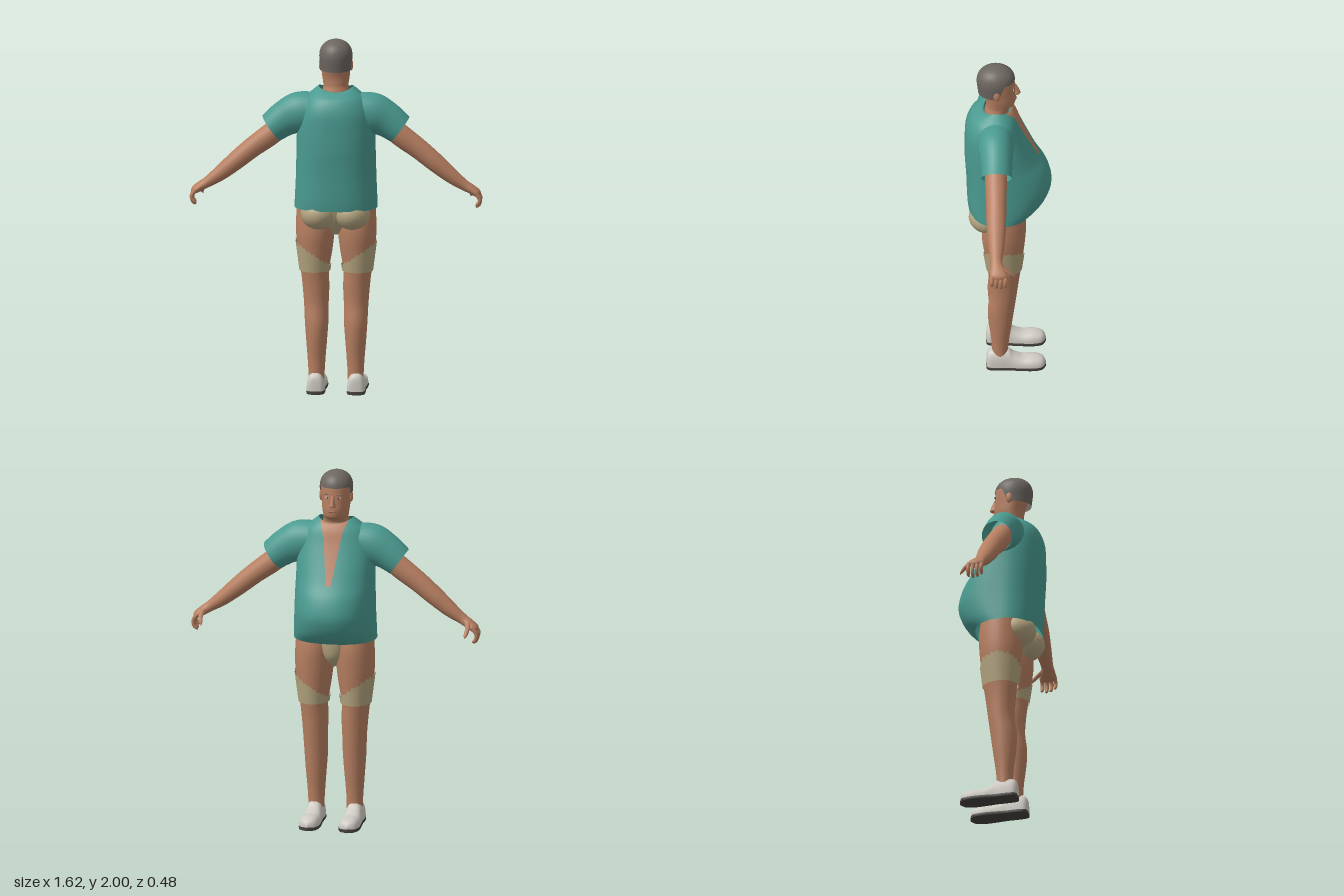
import * as THREE from 'three';

const mat = (name, color, side = THREE.FrontSide) => {
  const m = new THREE.MeshStandardMaterial({ color, side });
  m.name = name;
  return m;
};
const TAU = Math.PI * 2;
const spow = (a, p) => Math.sign(a) * Math.abs(a) ** p;

// Smooth interpolation through rows of numbers, t in 0..1
function sample(rows, t) {
  const f = t * (rows.length - 1), i = Math.min(Math.floor(f), rows.length - 2), k = f - i;
  const r = j => rows[Math.max(0, Math.min(rows.length - 1, j))];
  return rows[0].map((_, c) => {
    const a = r(i - 1)[c], b = r(i)[c], d = r(i + 1)[c], e = r(i + 2)[c];
    return b + 0.5 * k * (d - a + k * (2 * a - 5 * b + 4 * d - e + k * (3 * (b - d) + e - a)));
  });
}

// Grid surface from fn(u, v) -> [x, y, z]; u may close on itself
function surface(fn, nu, nv, wrap = true) {
  const cols = wrap ? nu : nu + 1, pos = [], idx = [];
  for (let j = 0; j <= nv; j++) for (let i = 0; i < cols; i++) pos.push(...fn(i / nu, j / nv));
  for (let j = 0; j < nv; j++) for (let i = 0; i < nu; i++) {
    const a = j * cols + i, b = j * cols + (i + 1) % cols, c = a + cols, d = b + cols;
    idx.push(a, c, b, b, c, d);
  }
  const g = new THREE.BufferGeometry();
  g.setAttribute('position', new THREE.Float32BufferAttribute(pos, 3));
  g.setIndex(idx);
  g.computeVertexNormals();
  return g;
}

// Horizontal ring; row = [y, cx, rx, cz, zFront, zBack]
const ring = ([y, cx, rx, cz, zf, zb], c, s, p = 1) =>
  [cx + rx * spow(c, p), y, cz + (s < 0 ? cz - zf : zb - cz) * spow(s, p)];
const loft = (rows, nu = 32, nv = 40, p = 1) =>
  surface((u, v) => ring(sample(rows, v), Math.cos(u * TAU), Math.sin(u * TAU), p), nu, nv);

// Limb along a path in x and y; row = [x, y, z, radius, radiusZ]
function limb(rows, nu = 20, nv = 30) {
  return surface((u, v) => {
    const a = sample(rows, Math.max(0, v - 0.01)), b = sample(rows, Math.min(1, v + 0.01));
    const [x, y, z, r, rz] = sample(rows, v);
    const tx = b[0] - a[0], ty = b[1] - a[1], l = Math.hypot(tx, ty) || 1, c = Math.cos(u * TAU);
    return [x + ty / l * r * c, y - tx / l * r * c, z + rz * Math.sin(u * TAU)];
  }, nu, nv);
}

function mirrored(geo) {
  const g = geo.clone().scale(-1, 1, 1), ix = g.index.array;
  for (let i = 0; i < ix.length; i += 3) [ix[i + 1], ix[i + 2]] = [ix[i + 2], ix[i + 1]];
  g.computeVertexNormals();
  return g;
}

const ball = (x, y, z, rx, ry, rz) =>
  new THREE.SphereGeometry(1, 20, 14).scale(rx, ry, rz).translate(x, y, z);

export function createModel() {
  const model = new THREE.Group();
  const skin = mat('skin', 0xb77f61, THREE.DoubleSide);
  const teal = mat('teal cloth', 0x4a9a90, THREE.DoubleSide);
  const beige = mat('beige cloth', 0xb5a580, THREE.DoubleSide);
  const hair = mat('grey hair', 0x6c6660, THREE.DoubleSide);
  const white = mat('off white', 0xcfcbc4);
  const dark = mat('dark sole', 0x45413e);
  const lip = mat('lip', 0x95604c);

  const add = (name, geo, m) => {
    const mesh = new THREE.Mesh(geo, m);
    mesh.name = name;
    model.add(mesh);
  };
  const pair = (name, geo, m) => {
    add(name + 'Left', geo, m);
    add(name + 'Right', mirrored(geo), m);
  };

  // Shirt body with a heavy belly towards -z
  const torso = [
    [1.055, 0, .23, .05, -.14, .22], [1.1, 0, .228, .05, -.19, .225], [1.16, 0, .225, .05, -.225, .228],
    [1.23, 0, .222, .05, -.24, .23], [1.32, 0, .22, .05, -.215, .235], [1.4, 0, .218, .05, -.165, .24],
    [1.5, 0, .215, .055, -.115, .24], [1.6, 0, .2, .06, -.07, .235], [1.67, 0, .17, .06, -.045, .21],
    [1.71, 0, .13, .06, -.025, .17], [1.738, 0, .095, .06, -.008, .135],
  ];
  const torsoPoint = (v, c, s) => {
    const p = ring(sample(torso, v), c, s, .88);
    p[1] -= .025 * v ** 12 * s * s;
    return p;
  };
  add('shirt', surface((u, v) => torsoPoint(v, Math.cos(u * TAU), Math.sin(u * TAU)), 48, 50), teal);

  // Bare chest in the open collar
  add('openCollar', surface((u, v) => {
    const t = .49 + .51 * v, row = sample(torso, t);
    const w = Math.min(.012 + .07 * v ** .9, row[2] * .8) * (u * 2 - 1);
    const c = spow(w / row[2], 1 / .88), p = torsoPoint(t, c, -Math.sqrt(1 - c * c));
    return [p[0], p[1], p[2] - .004];
  }, 12, 24, false), skin);

  pair('sleeve', limb([[.1, 1.6, .07, .1, .1], [.2, 1.585, .07, .115, .1],
    [.28, 1.55, .066, .1, .09], [.355, 1.495, .065, .086, .085]], 28, 20), teal);

  // Arms and hands
  pair('arm', limb([
    [.25, 1.55, .07, .06, .06], [.36, 1.46, .068, .062, .06], [.46, 1.385, .067, .057, .056],
    [.55, 1.31, .067, .052, .054], [.64, 1.235, .067, .042, .044], [.71, 1.185, .067, .03, .034],
    [.75, 1.16, .06, .026, .042], [.785, 1.135, .055, .02, .045], [.797, 1.122, .055, 0, 0],
  ], 24, 40), skin);
  [.018, .043, .068, .092].forEach((z, i) => {
    const d = [0, -.008, -.004, .008][i];
    pair('finger' + (i + 1), limb([[.77, 1.148, z, .012, .012], [.795, 1.115, z, .011, .011],
      [.794, 1.085 + d, z, .01, .01], [.78, 1.068 + d, z, .008, .008], [.774, 1.062 + d, z, 0, 0]], 10, 14), skin);
  });
  pair('thumb', limb([[.742, 1.175, .04, .016, .018], [.75, 1.145, .0, .013, .015],
    [.745, 1.115, -.028, .01, .011], [.74, 1.098, -.042, 0, 0]], 10, 14), skin);

  // Legs
  pair('leg', loft([
    [.08, .108, .045, .045, 0, .09], [.12, .108, .045, .045, 0, .09], [.2, .108, .05, .045, -.008, .095],
    [.3, .108, .058, .04, -.022, .108], [.4, .108, .065, .04, -.035, .112], [.5, .11, .068, .03, -.048, .1],
    [.6, .112, .074, .03, -.06, .105], [.69, .118, .078, .03, -.072, .115], [.8, .117, .095, .03, -.085, .132],
    [.9, .116, .106, .03, -.095, .145], [1.0, .113, .108, .03, -.1, .14], [1.08, .11, .105, .03, -.09, .13],
  ]), skin);

  // Short trousers: seat, crotch and ragged-topped cuffs
  pair('seat', ball(.093, 1.025, .11, .1, .09, .108), beige);
  add('crotch', loft([[.9, 0, .02, .03, -.03, .09], [.95, 0, .07, .03, -.075, .13],
    [1.0, 0, .1, .03, -.09, .16], [1.07, 0, .12, .03, -.095, .18]], 28, 12), beige);
  const low = [.69, .118, .086, .03, -.078, .122], high = [.86, .117, .109, .03, -.099, .148];
  pair('cuff', surface((u, v) => {
    const i = Math.round(u * 48), c = Math.cos(u * TAU);
    const top = .79 + .068 * c + [.01, -.004, .004, -.01, .007, -.008][i % 6];
    const k = v * (top - .69) / .17;
    return ring(low.map((a, n) => a + (high[n] - a) * k), c, Math.sin(u * TAU));
  }, 48, 8), beige);

  // Shoes; row = [z, half width, top]
  const shoe = [[.121, 0, .04], [.112, .042, .105], [.06, .05, .122], [0, .049, .116], [-.03, .051, .092],
    [-.08, .055, .071], [-.14, .056, .073], [-.19, .042, .06], [-.21, 0, .03]];
  pair('shoe', surface((u, v) => {
    const [z, w, top] = sample(shoe, v), s = Math.sin(u * TAU);
    return [.112 + w * spow(Math.cos(u * TAU), .8), .018 + (top - .018) * Math.max(0, s) ** .8, z];
  }, 28, 32), white);
  pair('sole', surface((u, v) => {
    const [z, w] = sample(shoe, v);
    return [.112 + w * 1.04 * spow(Math.cos(u * TAU), .3), .011 + .011 * spow(Math.sin(u * TAU), .3), z];
  }, 24, 32), dark);

  // Head, neck and face
  add('head', loft([
    [1.6, 0, .085, .07, -.02, .14], [1.7, 0, .076, .065, 0, .13], [1.735, 0, .07, .06, -.012, .123],
    [1.752, 0, .07, .06, -.035, .122], [1.79, 0, .076, .06, -.043, .124], [1.83, 0, .08, .065, -.041, .135],
    [1.88, 0, .083, .065, -.038, .15], [1.93, 0, .082, .068, -.032, .155], [1.965, 0, .06, .068, -.005, .13],
    [1.985, 0, 0, .068, .068, .068],
  ], 36, 48), skin);
  add('nose', loft([[1.81, 0, .004, -.04, -.046, -.03], [1.817, 0, .018, -.042, -.068, -.03],
    [1.838, 0, .013, -.04, -.064, -.03], [1.878, 0, .008, -.036, -.045, -.03]], 14, 14), skin);
  pair('ear', ball(.084, 1.855, .062, .011, .031, .019), skin);
  pair('eye', ball(.032, 1.863, -.029, .013, .006, .004), white);
  pair('pupil', ball(.032, 1.863, -.032, .005, .005, .003), dark);
  pair('eyebrow', ball(.033, 1.882, -.029, .019, .004, .005), hair);
  add('mouth', ball(0, 1.785, -.042, .024, .005, .004), lip);

  // Short hair, higher over the forehead than at the nape
  add('hair', surface((u, v) => {
    const c = Math.cos(u * TAU), s = Math.sin(u * TAU);
    const edge = 1.83 + .088 * THREE.MathUtils.smoothstep(-s, .1, .5);
    const y = edge + (2 - edge) * Math.sin(v * Math.PI / 2);
    const r = Math.sqrt(Math.max(0, 1 - Math.max(0, (y - 1.9) / .1) ** 2.6)) * (.92 + .08 * Math.min(1, (y - 1.83) / .07));
    return [.092 * r * c, y, .068 + (s < 0 ? .107 : .106) * r * s];
  }, 48, 20), hair);

  return model;
}
